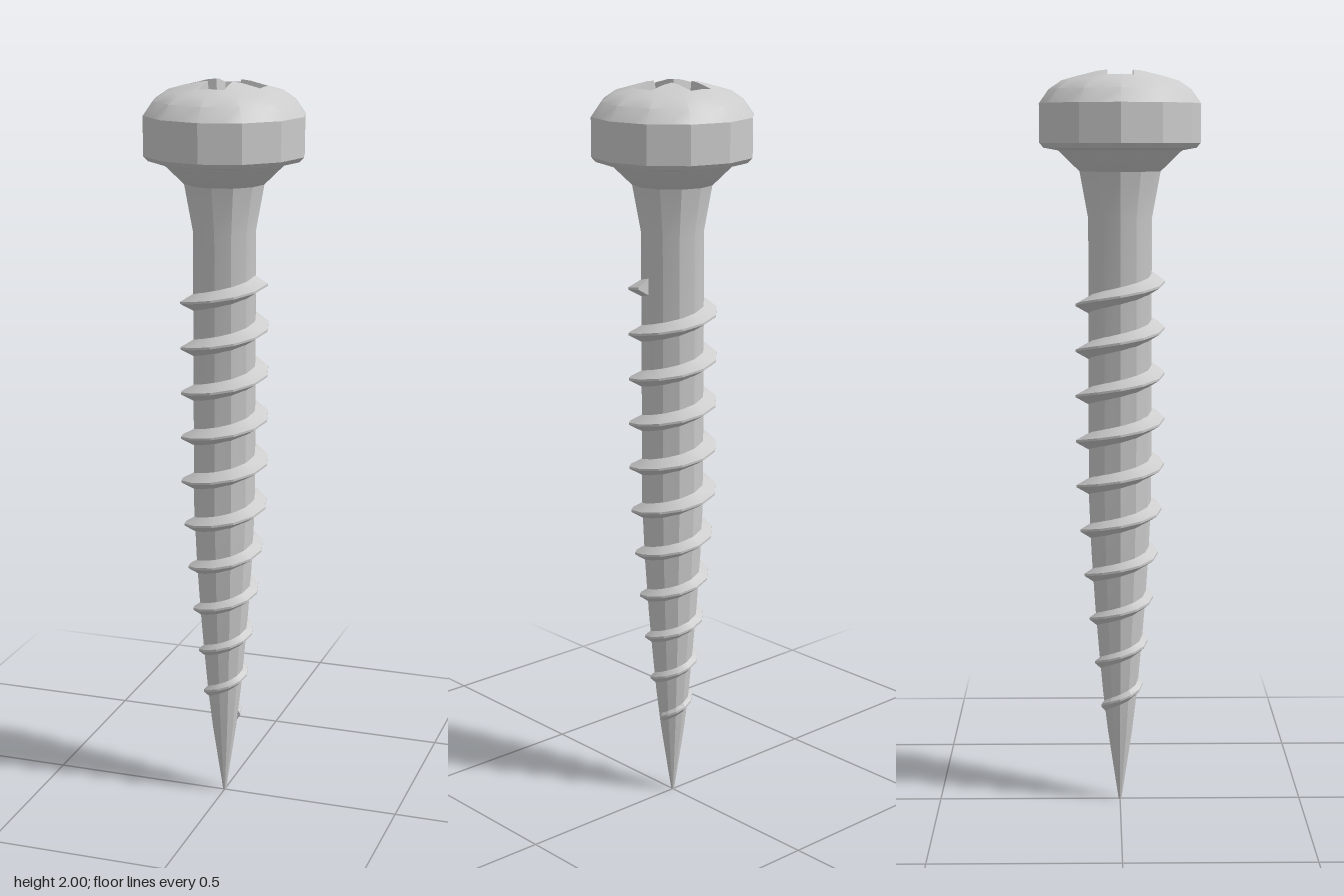
import * as THREE from 'three';
import { toCreasedNormals } from 'three/addons/utils/BufferGeometryUtils.js';

const SIDES = 12;
const RAD = Math.PI / 180;

// Skin a list of equally long closed rings; the crease angle keeps facets crisp
function loft(rings, crease) {
  const n = rings[0].length, pos = [], index = [];
  rings.forEach(ring => ring.forEach(p => pos.push(...p)));
  for (let i = 0; i < rings.length - 1; i++) {
    for (let j = 0; j < n; j++) {
      const k = (j + 1) % n;
      const a = i * n + j, b = i * n + k, c = a + n, d = b + n;
      index.push(a, b, d, a, d, c);
    }
  }
  const g = new THREE.BufferGeometry();
  g.setAttribute('position', new THREE.Float32BufferAttribute(pos, 3));
  g.setIndex(index);
  return toCreasedNormals(g, crease * RAD);
}

const polar = (r, y, phi) => [r * Math.sin(phi), y, r * Math.cos(phi)];

// Piecewise linear lookup in [key, value] pairs with rising keys
function lookup(table, x) {
  for (let i = 1; i < table.length; i++) {
    const [x0, v0] = table[i - 1], [x1, v1] = table[i];
    if (x <= x1) return THREE.MathUtils.lerp(v0, v1, THREE.MathUtils.clamp((x - x0) / (x1 - x0), 0, 1));
  }
  return table[table.length - 1][1];
}

// Shaft radius and thread crest radius by height
const SHAFT = [[0, 0.004], [0.2, 0.034], [0.31, 0.047], [0.43, 0.058], [0.55, 0.068],
  [0.7, 0.078], [0.86, 0.085], [1.61, 0.085], [1.735, 0.108]];
const CREST = [[0.237, 0.046], [0.31, 0.06], [0.43, 0.073], [0.55, 0.088], [0.68, 0.102], [0.9, 0.12]];

// Tapered shaft with a pointed tip
function shaftGeometry() {
  const ring = (y, r) => Array.from({ length: SIDES }, (_, j) => polar(r, y, j * 30 * RAD));
  return loft([ring(0, 0), ...SHAFT.map(([y, r]) => ring(y, r))], 25);
}

// Helical ridge of ten turns, thinning out towards the tip
function threadGeometry() {
  const TURNS = 10, PITCH = 0.1235, START = 0.237;
  const rings = [];
  for (let i = 0; i <= TURNS * SIDES; i++) {
    const phi = (90 + i * 30) * RAD;
    const y = START + PITCH * i / SIDES;
    const root = lookup(SHAFT, y) * 0.92, crest = lookup(CREST, y);
    const half = Math.min(0.028, 0.014 + (crest - root) * 0.3);
    rings.push([[root, half], [crest, 0.003], [crest, -0.003], [root, -half]]
      .map(([r, dy]) => polar(r, y + dy, phi)));
  }
  // close both ends
  const collapse = ring => {
    const c = [0, 1, 2].map(k => ring.reduce((s, p) => s + p[k], 0) / ring.length);
    return ring.map(() => c);
  };
  return loft([collapse(rings[0]), ...rings, collapse(rings[rings.length - 1])], 25);
}

// Domed twelve-sided head with a cross recess
function headGeometry() {
  const ARM = 0.107, HALF = 0.034;
  const corner = Math.atan2(HALF, ARM) / RAD;
  const angles = [];
  for (let q = 0; q < 360; q += 90) {
    for (const a of [0, corner, 30, 45, 60, 90 - corner]) angles.push(q + a);
  }
  // distance to the edge of the twelve-sided outline, and to the cross outline
  const polygon = (a, r) => r * Math.cos(15 * RAD) / Math.cos((a % 30 - 15) * RAD);
  const cross = (a, arm, half) => {
    const m = a % 90, t = Math.min(m, 90 - m) * RAD;
    return Math.min(arm / Math.cos(t), half / Math.max(Math.sin(t), 1e-6));
  };
  const ring = (r, y) => angles.map(a => polar(polygon(a, r), y, a * RAD));
  const dome = [[0.048, 2], [0.075, 1.996], [0.112, 1.985]];
  const rim = angles.map(a => {
    const r = cross(a, ARM, HALF);
    return polar(r, lookup(dome, r), a * RAD);
  });
  const floor = angles.map(a => polar(cross(a, ARM - 0.003, HALF - 0.003), 1.95, a * RAD));
  const outline = [[0.1, 1.73], [0.108, 1.735], [0.165, 1.79], [0.203, 1.797], [0.215, 1.81],
    [0.215, 1.913], [0.189, 1.95], [0.155, 1.973]];
  return loft([...outline.map(([r, y]) => ring(r, y)), rim, floor, ring(0, 1.95)], 29);
}

export function createModel() {
  const model = new THREE.Group();
  model.name = 'screw';
  const material = new THREE.MeshStandardMaterial({ color: 0xcccccc });
  const parts = { shaft: shaftGeometry(), thread: threadGeometry(), head: headGeometry() };
  for (const [name, geometry] of Object.entries(parts)) {
    const mesh = new THREE.Mesh(geometry, material);
    mesh.name = name;
    model.add(mesh);
  }
  return model;
}
